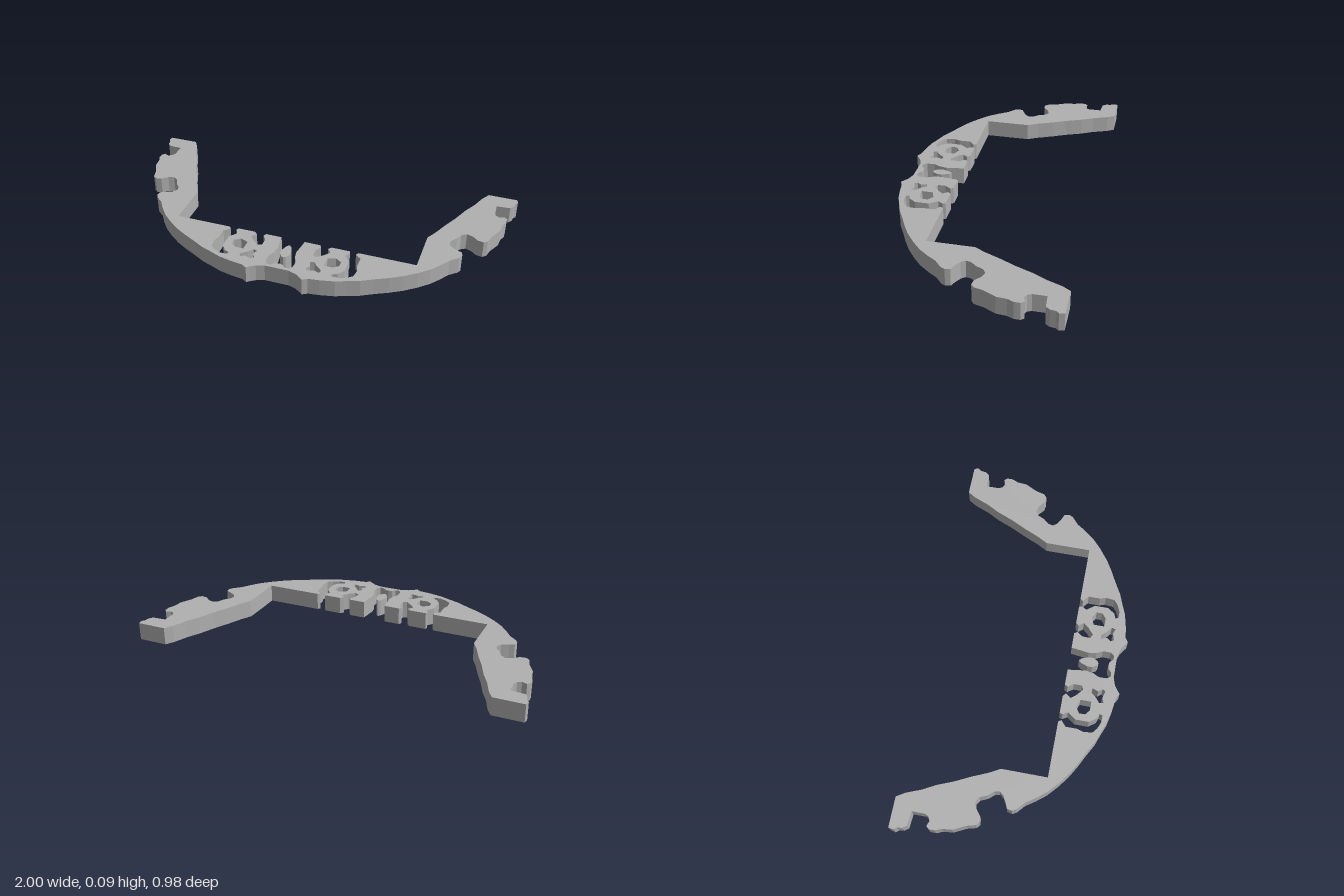
import * as THREE from 'three';

const HEIGHT = 0.09;

// Shape plane is (x, -z), so the extrusion can be laid flat with y up
const toPlane = (pts) => pts.map(([x, z]) => new THREE.Vector2(x, -z));
const mirror = (pts) => pts.map(([x, z]) => [-x, z]).reverse();

function extrude(outline, holes = []) {
  const shape = new THREE.Shape(toPlane(outline));
  for (const h of holes) shape.holes.push(new THREE.Path(toPlane(h)));
  const geo = new THREE.ExtrudeGeometry(shape, { depth: HEIGHT, bevelEnabled: false });
  return geo.rotateX(-Math.PI / 2);
}

export function createModel() {
  const group = new THREE.Group();
  const grey = new THREE.MeshStandardMaterial({ color: 0xb0b0b0, flatShading: true });
  grey.name = 'grey';

  // Front edge, from the centre out to the arm
  const front = [
    [0, 0.445], [0.06, 0.445], [0.1, 0.458], [0.125, 0.475], [0.14, 0.487], [0.165, 0.472],
    [0.22, 0.465], [0.29, 0.45], [0.34, 0.43], [0.4, 0.408], [0.46, 0.375], [0.52, 0.345],
    [0.58, 0.31], [0.64, 0.265], [0.69, 0.22], [0.73, 0.17], [0.76, 0.125],
  ];
  // Notched outer side of the arm, up to its tip
  const armOutside = [
    [0.8, 0.09], [0.81, 0.07], [0.805, 0.045], [0.78, 0.035], [0.745, 0.015], [0.73, -0.005],
    [0.735, -0.03], [0.76, -0.06], [0.775, -0.095], [0.8, -0.11], [0.83, -0.1], [0.86, -0.075],
    [0.89, -0.07], [0.908, -0.085], [0.92, -0.13], [0.95, -0.19], [0.955, -0.24], [0.968, -0.27],
    [0.968, -0.3], [0.955, -0.315], [0.93, -0.305], [0.91, -0.315], [0.9, -0.335], [0.9, -0.4],
    [0.97, -0.405], [0.985, -0.425], [0.988, -0.45], [1, -0.465], [0.995, -0.49], [0.845, -0.49],
  ];
  // Inner side of the arm and the straight back edge
  const armInside = [
    [0.82, -0.45], [0.79, -0.375], [0.755, -0.31], [0.72, -0.225], [0.685, -0.155],
    [0.65, -0.075], [0.62, -0.02], [0.62, 0.21],
  ];
  // Curved channels that open through the back edge
  const outerChannel = [
    [0.335, 0.21], [0.325, 0.225], [0.355, 0.25], [0.355, 0.31], [0.365, 0.34], [0.36, 0.385],
    [0.335, 0.405], [0.3, 0.42], [0.265, 0.42], [0.26, 0.405], [0.285, 0.395], [0.31, 0.36],
    [0.31, 0.29], [0.28, 0.25], [0.295, 0.225], [0.29, 0.21],
  ];
  const innerChannel = [
    [0.2, 0.21], [0.185, 0.225], [0.205, 0.25], [0.185, 0.275], [0.15, 0.305],
    [0.13, 0.295], [0.13, 0.255], [0.15, 0.225], [0.14, 0.21],
  ];
  const centreGap = [
    [0.06, 0.21], [0.055, 0.25], [0.048, 0.3], [0.055, 0.34], [0.07, 0.37], [0.07, 0.41],
    [0.055, 0.43], [0.035, 0.428], [0.02, 0.413], [0, 0.408],
  ];
  const half = [...front, ...armOutside, ...armInside, ...outerChannel, ...innerChannel, ...centreGap];
  const outline = [...half, ...mirror(half.slice(1, -1))];

  // Closed cut-outs beside the centre
  const cutouts = [
    [[0.205, 0.3], [0.245, 0.285], [0.275, 0.305], [0.275, 0.335], [0.25, 0.355], [0.205, 0.355]],
    [[0.135, 0.35], [0.155, 0.345], [0.175, 0.37], [0.205, 0.395], [0.2, 0.415],
      [0.175, 0.405], [0.14, 0.415], [0.13, 0.4], [0.145, 0.38]],
  ];
  const holes = cutouts.flatMap((h) => [h, mirror(h)]);

  const band = new THREE.Mesh(extrude(outline, holes), grey);
  band.name = 'curvedBand';
  group.add(band);

  // Separate drop standing in the centre gap
  const dropHalf = [[0, 0.258], [0.012, 0.27], [0.025, 0.305], [0.025, 0.33], [0.012, 0.352], [0, 0.358]];
  const drop = new THREE.Mesh(extrude([...dropHalf, ...mirror(dropHalf.slice(1, -1))]), grey);
  drop.name = 'centreDrop';
  group.add(drop);

  return group;
}
